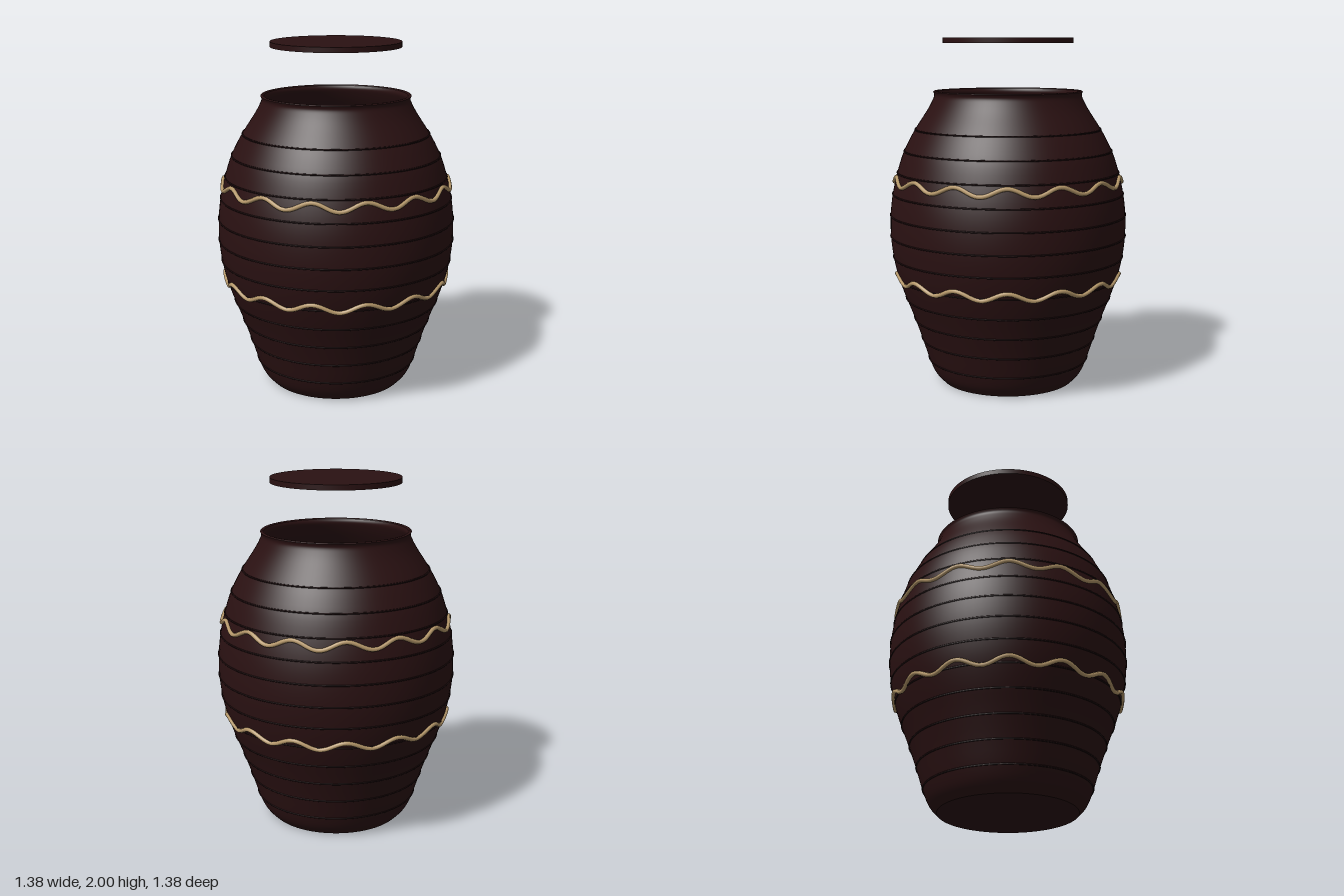
import * as THREE from 'three';

const clay = new THREE.MeshStandardMaterial({ name: 'dark clay', color: 0x2a1112 });
const groove = new THREE.MeshStandardMaterial({ name: 'groove shadow clay', color: 0x1c0b0c });
const gold = new THREE.MeshStandardMaterial({ name: 'ochre rope', color: 0xb6986a });

// Outer wall control points: radius, height
const wall = new THREE.SplineCurve([
  [0.39, 0], [0.435, 0.05], [0.47, 0.13], [0.515, 0.27], [0.565, 0.41], [0.615, 0.54],
  [0.655, 0.67], [0.678, 0.8], [0.685, 0.92], [0.678, 1.05], [0.655, 1.18], [0.615, 1.32],
  [0.575, 1.41], [0.53, 1.49], [0.465, 1.59], [0.435, 1.645], [0.424, 1.675], [0.43, 1.695],
].map(([r, y]) => new THREE.Vector2(r, y)));
const outer = wall.getPoints(68);

// Outer radius at a given height
function radiusAt(y) {
  const i = Math.max(1, outer.findIndex((p) => p.y >= y));
  const a = outer[i - 1], b = outer[i];
  return a.x + (b.x - a.x) * (y - a.y) / (b.y - a.y);
}

// Closed wavy rope lying on the wall
class WaveCurve extends THREE.Curve {
  constructor(height) {
    super();
    this.height = height;
  }
  getPoint(t, target = new THREE.Vector3()) {
    const a = t * Math.PI * 2;
    const y = this.height + 0.022 * Math.sin(14 * a);
    const r = radiusAt(y) + 0.004;
    return target.set(r * Math.cos(a), y, r * Math.sin(a));
  }
}

export function createModel() {
  const model = new THREE.Group();
  model.name = 'jar';
  const add = (name, geometry, material, y = 0) => {
    const mesh = new THREE.Mesh(geometry, material);
    mesh.name = name;
    mesh.position.y = y;
    model.add(mesh);
    return mesh;
  };

  // Outer wall, rim and hollow inside
  add('outerWall', new THREE.LatheGeometry(outer, 96), clay);
  const inner = outer.filter((p) => p.y > 0.04).reverse()
    .map((p) => new THREE.Vector2(p.x - 0.02, p.y));
  add('innerWall', new THREE.LatheGeometry(inner, 96), clay);
  const rim = [[0.43, 1.695], [0.425, 1.7], [0.415, 1.7], [0.41, 1.695]];
  add('rim', new THREE.LatheGeometry(rim.map(([r, y]) => new THREE.Vector2(r, y)), 96), clay);
  add('base', new THREE.CylinderGeometry(0.42, 0.39, 0.045, 96), clay, 0.0225);

  // Fine turning rings around the wall
  for (let i = 0; i < 12; i++) {
    const y = 0.13 + i * 0.1228;
    const ring = add('turningRing', new THREE.TorusGeometry(radiusAt(y), 0.005, 6, 96), groove, y);
    ring.rotation.x = Math.PI / 2;
  }

  // Two wavy rope bands
  add('upperRope', new THREE.TubeGeometry(new WaveCurve(1.195), 336, 0.012, 8, true), gold);
  add('lowerRope', new THREE.TubeGeometry(new WaveCurve(0.633), 336, 0.012, 8, true), gold);

  // Lid floating above the mouth
  add('lid', new THREE.CylinderGeometry(0.373, 0.373, 0.03, 96), clay, 1.985);

  return model;
}
